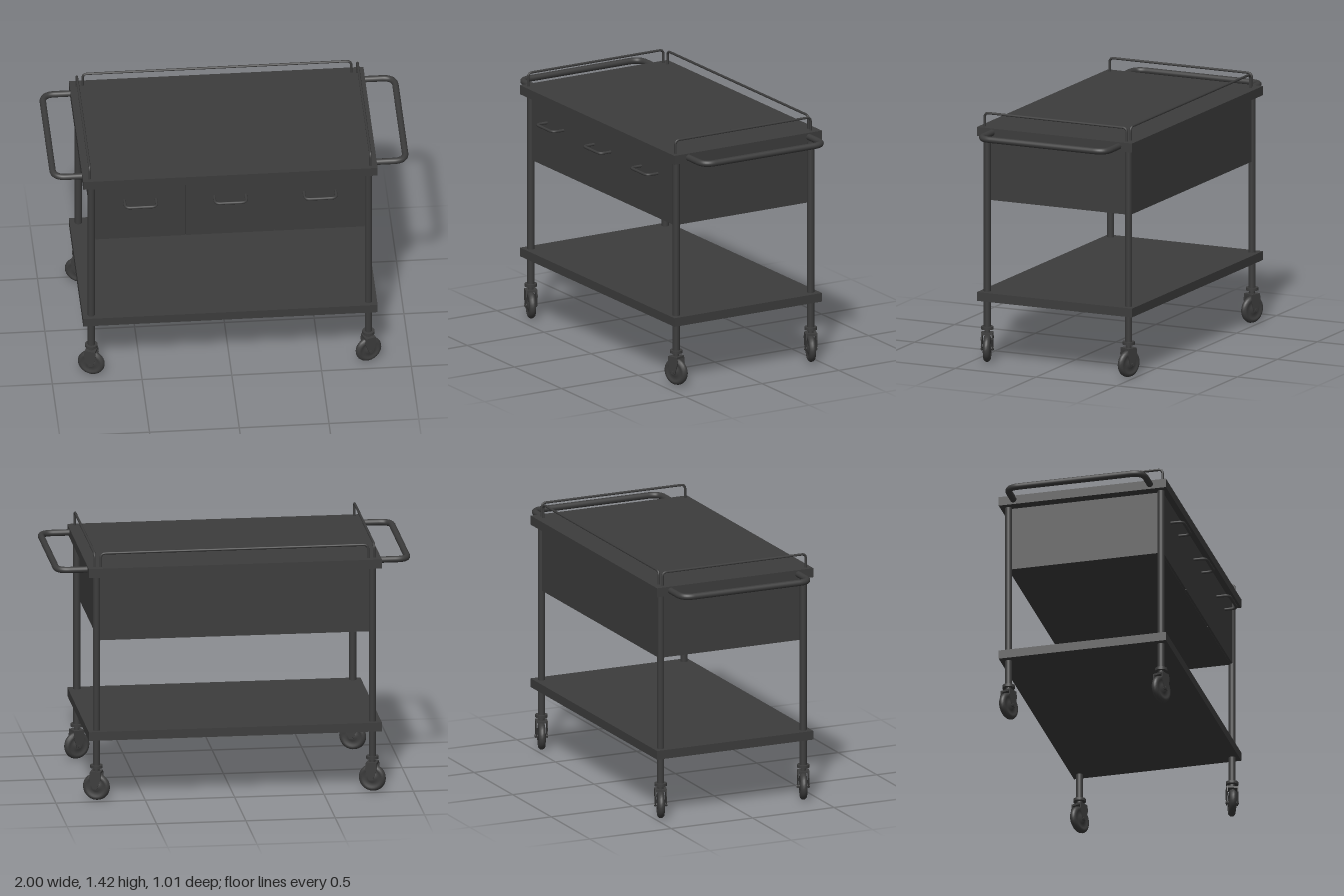
import * as THREE from 'three';

const mat = new THREE.MeshStandardMaterial({ color: 0x3c3c3c, side: THREE.DoubleSide });
const V = (x, y, z) => new THREE.Vector3(x, y, z);
const ZC = -0.023; // depth centre of the frame

function add(parent, name, geometry, x = 0, y = 0, z = 0) {
  const mesh = new THREE.Mesh(geometry, mat);
  mesh.name = name;
  mesh.position.set(x, y, z);
  parent.add(mesh);
  return mesh;
}

const box = (w, h, d) => new THREE.BoxGeometry(w, h, d);
const cyl = (r, h, n = 20) => new THREE.CylinderGeometry(r, r, h, n);

// U-shaped bar through four points with two rounded corners
function bar([a, b, c, d], bend, radius, sides = 10) {
  const path = new THREE.CurvePath();
  const toward = (p, q) => p.clone().add(q.clone().sub(p).setLength(bend));
  const b0 = toward(b, a), b1 = toward(b, c), c0 = toward(c, b), c1 = toward(c, d);
  path.add(new THREE.LineCurve3(a, b0));
  path.add(new THREE.QuadraticBezierCurve3(b0, b, b1));
  path.add(new THREE.LineCurve3(b1, c0));
  path.add(new THREE.QuadraticBezierCurve3(c0, c, c1));
  path.add(new THREE.LineCurve3(c1, d));
  return new THREE.TubeGeometry(path, 120, radius, sides, false);
}

// Swivel caster: collar, stem, fork and tyre, turned about the leg axis
function caster(x, z, turn) {
  const g = new THREE.Group();
  g.name = 'caster';
  g.position.set(x, 0, z);
  g.rotation.y = turn;
  add(g, 'collar', cyl(0.035, 0.016), 0, 0.197);
  add(g, 'stem', cyl(0.016, 0.04), 0, 0.18);
  add(g, 'forkCrown', box(0.06, 0.012, 0.066), 0, 0.165);

  const cheek = new THREE.Shape([[-0.03, 0.171], [0.03, 0.171], [0.034, 0.135],
    [0.014, 0.07], [-0.008, 0.07], [-0.034, 0.135]].map(p => new THREE.Vector2(...p)));
  const plate = new THREE.ExtrudeGeometry(cheek, { depth: 0.006, bevelEnabled: false });
  for (const s of [-1, 1]) add(g, 'forkCheek', plate, 0, 0, s * 0.03 - 0.003);

  const profile = [[0, -0.022], [0.022, -0.022], [0.026, -0.014], [0.048, -0.014], [0.054, -0.02],
    [0.066, -0.018], [0.074, -0.01], [0.077, 0], [0.074, 0.01], [0.066, 0.018], [0.054, 0.02],
    [0.048, 0.014], [0.026, 0.014], [0.022, 0.022], [0, 0.022]];
  const wheel = new THREE.LatheGeometry(profile.map(p => new THREE.Vector2(...p)), 28);
  add(g, 'wheel', wheel, 0, 0.08).rotation.x = Math.PI / 2;
  add(g, 'axle', cyl(0.009, 0.074, 12), 0, 0.08).rotation.x = Math.PI / 2;
  return g;
}

export function createModel() {
  const cart = new THREE.Group();
  cart.name = 'utilityCart';
  const body = new THREE.Group();
  body.name = 'body';
  body.position.x = -0.004;
  cart.add(body);

  // Worktop and lower shelf
  add(body, 'worktop', box(1.64, 0.052, 0.96), 0, 1.318, ZC);
  add(body, 'lowerShelf', box(1.64, 0.05, 0.96), 0, 0.38, ZC);

  // Legs with casters; the front left wheel is turned the other way
  for (const x of [-0.772, 0.772]) for (const z of [0.417, -0.459]) {
    add(body, 'leg', cyl(0.02, 1.095), x, 0.7475, z);
    body.add(caster(x, z, x > 0 && z > 0 ? 0.36 : -0.36));
  }

  // Drawer cabinet with three fronts and pulls
  add(body, 'cabinet', box(1.52, 0.37, 0.875), 0, 1.107, -0.026);
  for (const x of [-0.5, 0, 0.5]) {
    add(body, 'drawerFront', box(0.497, 0.366, 0.014), x, 1.107, 0.417);
    add(body, 'drawerPull', bar([V(x - 0.088, 1.18, 0.42), V(x - 0.088, 1.18, 0.495),
      V(x + 0.088, 1.18, 0.495), V(x + 0.088, 1.18, 0.42)], 0.03, 0.008));
  }

  // Guard rails on the back and both ends
  add(body, 'backRail', bar([V(-0.748, 1.33, -0.459), V(-0.748, 1.42, -0.459),
    V(0.748, 1.42, -0.459), V(0.748, 1.33, -0.459)], 0.025, 0.007));
  for (const s of [-1, 1]) {
    add(body, 'sideRail', bar([V(s * 0.782, 1.33, 0.428), V(s * 0.782, 1.42, 0.428),
      V(s * 0.782, 1.42, -0.452), V(s * 0.782, 1.33, -0.452)], 0.025, 0.007));
    // Push handle
    add(cart, 'pushHandle', bar([V(s * 0.8, 1.32, 0.365), V(s * 0.982, 1.32, 0.365),
      V(s * 0.982, 1.32, -0.419), V(s * 0.8, 1.32, -0.419)], 0.07, 0.018, 16));
  }
  return cart;
}
